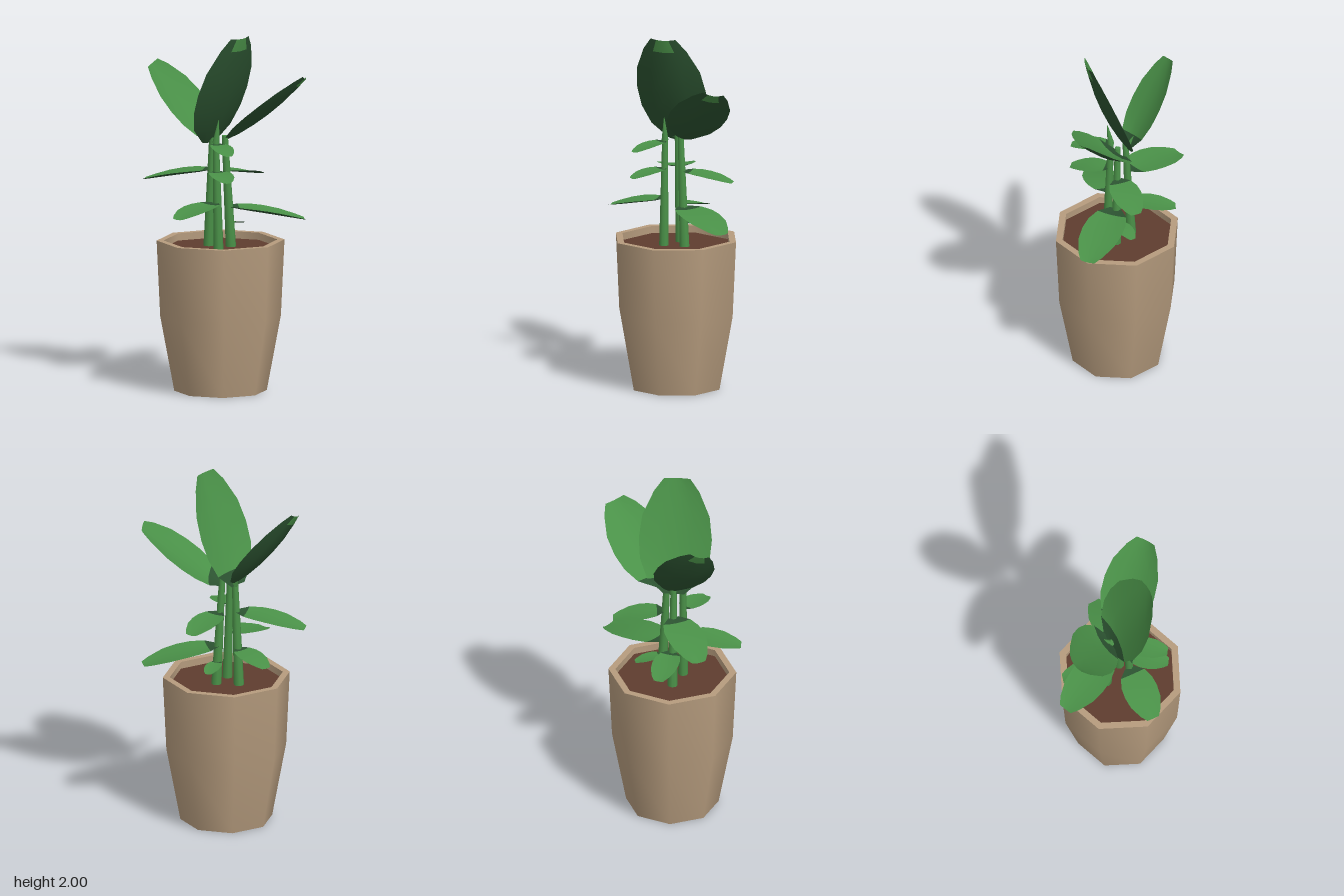
import * as THREE from 'three';
import { mergeGeometries } from 'three/addons/utils/BufferGeometryUtils.js';

const V = (x, y, z) => new THREE.Vector3(x, y, z);

// Leaf half-width along its length, as [t, fraction of the widest half]
const OUTLINE = [[0, 0.28], [0.13, 0.74], [0.3, 0.95], [0.48, 1], [0.68, 0.92], [0.89, 0.62], [1, 0.36]];
const ACROSS = [-1, -0.5, 0, 0.5, 1];

// Cupped leaf blade: an upper and a lower sheet that meet along the edge.
// Group 0 is light green (upper side, tip underneath), group 1 is dark (underside, leaf base).
function leafGeometry(base, tip, half, across, cup, arch) {
  const axis = tip.clone().sub(base);
  const len = axis.length();
  axis.normalize();
  const w = across ? across.clone() : V(axis.z, 0, -axis.x);
  w.addScaledVector(axis, -w.dot(axis)).normalize();
  const n = axis.clone().cross(w);
  if (n.y < 0) { n.negate(); w.negate(); }

  const pos = [], light = [], dark = [], cols = ACROSS.length, rows = OUTLINE.length;
  for (const side of [1, -1]) {
    const start = pos.length / 3;
    for (const [t, f] of OUTLINE) {
      for (const u of ACROSS) {
        const lens = side * 0.018 * len * (1 - u * u) * Math.sin(Math.PI * t);
        const lift = cup * len * f * (u * u - 0.5) + arch * len * Math.sin(Math.PI * t) + lens;
        const p = base.clone().addScaledVector(axis, len * t)
          .addScaledVector(w, half * f * u).addScaledVector(n, lift);
        pos.push(p.x, p.y, p.z);
      }
    }
    for (let r = 0; r < rows - 1; r++) {
      for (let c = 0; c < cols - 1; c++) {
        const a = start + r * cols + c, b = a + cols;
        const isLight = side > 0 ? r > 0 : r === rows - 2 && c > 0 && c < cols - 2;
        const list = isLight ? light : dark;
        if (side > 0) list.push(a, b, b + 1, a, b + 1, a + 1);
        else list.push(a, b + 1, b, a, a + 1, b + 1);
      }
    }
  }
  const g = new THREE.BufferGeometry();
  g.setAttribute('position', new THREE.Float32BufferAttribute(pos, 3));
  g.setIndex([...light, ...dark]);
  g.addGroup(0, light.length, 0);
  g.addGroup(light.length, dark.length, 1);
  g.computeVertexNormals();
  return g;
}

// Tapered round rod between two points
function rod(a, b, r0, r1) {
  const d = b.clone().sub(a);
  const g = new THREE.CylinderGeometry(r1, r0, d.length(), 8, 1);
  g.translate(0, d.length() / 2, 0);
  g.applyQuaternion(new THREE.Quaternion().setFromUnitVectors(V(0, 1, 0), d.normalize()));
  return g.translate(a.x, a.y, a.z);
}

export function createModel() {
  const group = new THREE.Group();
  const material = (name, color) => {
    const m = new THREE.MeshStandardMaterial({ color });
    m.name = name;
    return m;
  };
  const clay = material('clay', 0xb69c7e);
  clay.side = THREE.DoubleSide;
  const earth = material('earth', 0x5f3d2f);
  const green = material('leaf green', 0x4a9148);
  const darkGreen = material('dark leaf green', 0x2c5331);
  const leafMaterials = [green, darkGreen];

  const add = (name, geometry, mat) => {
    const mesh = new THREE.Mesh(geometry, mat);
    mesh.name = name;
    group.add(mesh);
    return mesh;
  };

  // Eight-sided pot, open underneath: outer wall, rim and inner wall kept crisp from each other
  const bands = [
    [[0.257, 0], [0.335, 0.42], [0.355, 0.845]],
    [[0.355, 0.845], [0.316, 0.845]],
    [[0.316, 0.845], [0.316, 0.79]],
  ];
  const pot = mergeGeometries(bands.map(band =>
    new THREE.LatheGeometry(band.map(([r, y]) => new THREE.Vector2(r, y)), 8)));
  add('pot', pot, clay).position.set(0.038, 0, 0.01);

  // Soil, with corners lined up with the pot
  const soil = new THREE.CircleGeometry(0.316, 8).rotateX(-Math.PI / 2);
  add('soil', soil, earth).position.set(0.038, 0.805, 0.01);

  // Stems, slightly leaning
  add('leftStem', rod(V(-0.047, 0.79, 0.015), V(-0.015, 1.42, 0.02), 0.029, 0.017), green);
  add('frontStem', rod(V(0.075, 0.79, 0.068), V(0.055, 1.42, 0.068), 0.028, 0.017), green);
  add('backStem', rod(V(0.062, 0.79, -0.05), V(0.043, 1.43, -0.02), 0.029, 0.017), green);

  // Young pointed shoots
  add('frontShoot', rod(V(0.055, 1.4, 0.068), V(0.075, 1.53, 0.066), 0.02, 0.002), green);
  add('leftShoot', rod(V(-0.018, 1.39, 0.012), V(-0.055, 1.47, 0.004), 0.018, 0.002), green);

  // Large upright top leaves: base, tip, half width, direction across
  const topLeaves = [
    ['tallLeaf', V(-0.03, 1.39, 0.022), V(0.205, 2.0, 0.028), 0.203, V(0, 0, 1)],
    ['leftTopLeaf', V(-0.025, 1.41, 0.0), V(-0.32, 1.82, 0.18), 0.155, V(0.19, -0.27, 0.95)],
    ['backTopLeaf', V(0.04, 1.41, -0.045), V(0.362, 1.748, -0.33), 0.163, V(0.6, 0.27, 0.76)],
  ];
  for (const [name, base, tip, half, across] of topLeaves) {
    add(name, leafGeometry(base, tip, half, across, 0.07, -0.01), leafMaterials);
  }

  // Lower leaves spreading sideways: base, tip, half width
  const lowerLeaves = [
    ['upperFrontLeaf', V(0.06, 1.395, 0.068), V(0.25, 1.36, 0.18), 0.06],
    ['middleFrontLeaf', V(0.06, 1.24, 0.068), V(0.25, 1.21, 0.19), 0.066],
    ['lowerFrontLeaf', V(0.062, 1.065, 0.08), V(0.06, 1.01, 0.39), 0.097],
    ['middleBackLeaf', V(0.05, 1.23, -0.04), V(0.033, 1.18, -0.32), 0.085],
    ['lowerBackLeaf', V(0.06, 1.03, -0.04), V(0.33, 0.95, -0.365), 0.115],
    ['smallBackLeaf', V(0.05, 0.94, -0.05), V(0.01, 0.915, -0.195), 0.045],
    ['middleLeftLeaf', V(-0.03, 1.235, 0.02), V(-0.38, 1.165, 0.18), 0.108],
    ['lowerLeftLeaf', V(-0.04, 1.02, 0.012), V(-0.285, 0.975, -0.05), 0.075],
  ];
  for (const [name, base, tip, half] of lowerLeaves) {
    add(name, leafGeometry(base, tip, half, null, 0.04, 0.03), leafMaterials);
  }
  return group;
}
